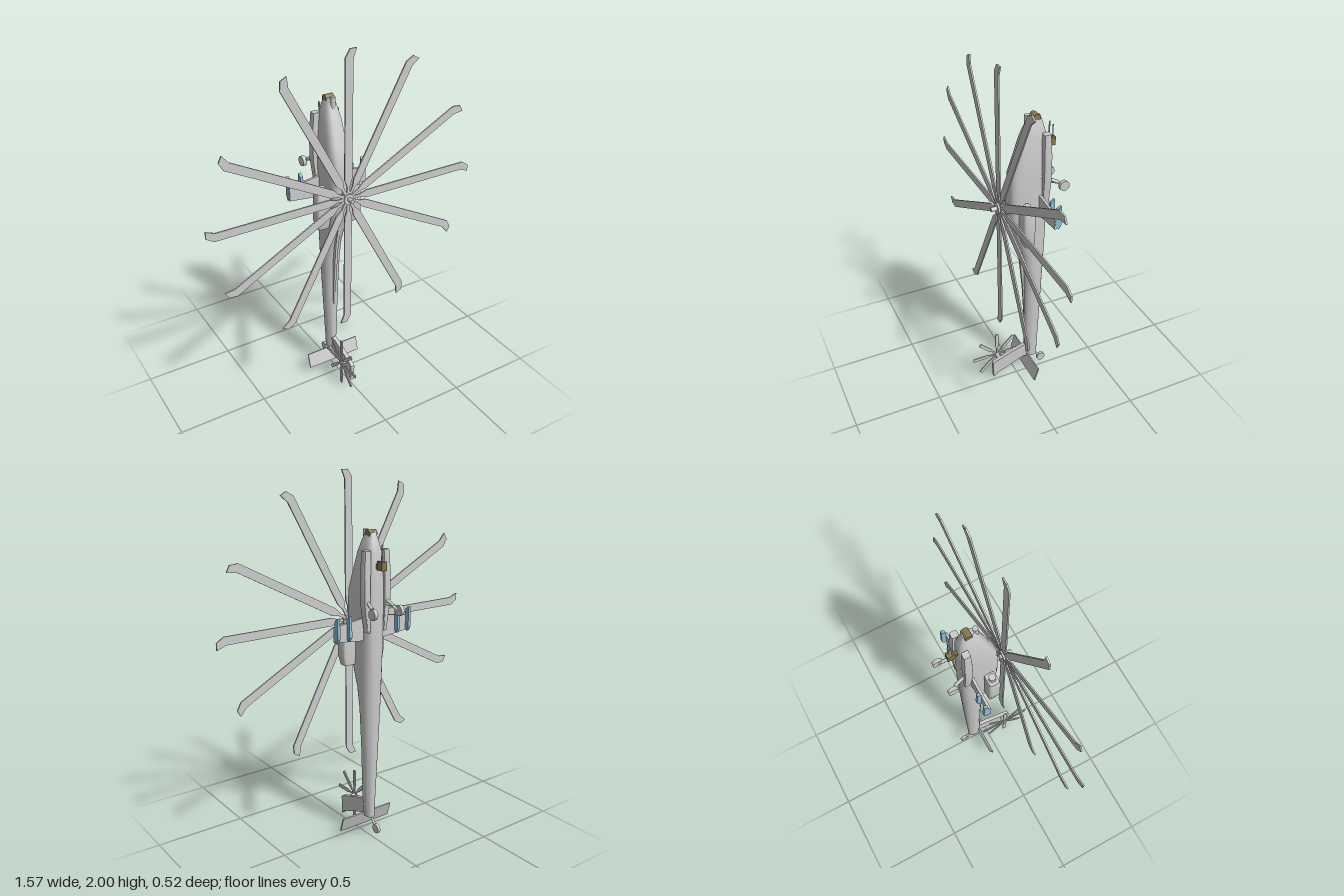
import * as THREE from 'three';
import { toCreasedNormals } from 'three/addons/utils/BufferGeometryUtils.js';

const material = (color) => new THREE.MeshStandardMaterial({ color, side: THREE.DoubleSide });
const grey = material(0xcccccc), blue = material(0x8fbcd2), olive = material(0x857850);

function add(parent, name, geometry, mat = grey, pos = [0, 0, 0]) {
  const mesh = new THREE.Mesh(geometry, mat);
  mesh.name = name;
  mesh.position.set(...pos);
  parent.add(mesh);
  return mesh;
}
const box = (w, h, d) => new THREE.BoxGeometry(w, h, d);

// Flat plate cut from an outline, centred on its thickness
function plate(points, thickness) {
  const shape = new THREE.Shape(points.map(([x, y]) => new THREE.Vector2(x, y)));
  const g = new THREE.ExtrudeGeometry(shape, { depth: thickness, bevelEnabled: false });
  return g.translate(0, 0, -thickness / 2);
}

// Round bar between two points
function bar(parent, name, a, b, r, mat = grey, r2 = r) {
  const p = new THREE.Vector3(...a), q = new THREE.Vector3(...b);
  const mesh = add(parent, name, new THREE.CylinderGeometry(r2, r, p.distanceTo(q), 10), mat);
  mesh.position.copy(p).lerp(q, 0.5);
  mesh.quaternion.setFromUnitVectors(new THREE.Vector3(0, 1, 0), q.sub(p).normalize());
  return mesh;
}

// Superellipse sections along y: [y, z upper, z lower, half width, exponent, centre x]
function loft(stations, n = 24) {
  const pos = [], index = [];
  const pw = (v, e) => Math.sign(v) * Math.abs(v) ** (2 / e);
  stations.forEach(([y, z0, z1, w, e, cx = 0]) => {
    for (let i = 0; i < n; i++) {
      const t = (i / n) * Math.PI * 2;
      pos.push(cx + w * pw(Math.sin(t), e), y, (z0 + z1) / 2 + (z0 - z1) / 2 * pw(Math.cos(t), e));
    }
  });
  const last = stations.length - 1;
  for (let s = 0; s < last; s++) {
    for (let i = 0; i < n; i++) {
      const a = s * n + i, b = s * n + (i + 1) % n;
      index.push(a, a + n, b, b, a + n, b + n);
    }
  }
  for (let i = 1; i < n - 1; i++) {
    index.push(0, i, i + 1, last * n, last * n + i + 1, last * n + i);
  }
  const g = new THREE.BufferGeometry();
  g.setAttribute('position', new THREE.Float32BufferAttribute(pos, 3));
  g.setIndex(index);
  return toCreasedNormals(g, 0.6);
}

export function createModel() {
  const model = new THREE.Group();
  model.name = 'helicopter';

  // Body standing nose up, from nose to tail
  add(model, 'fuselage', loft([
    [1.705, -0.065, -0.125, 0.02, 2.5], [1.66, -0.045, -0.14, 0.034, 2.8],
    [1.60, -0.02, -0.155, 0.046, 3.2], [1.47, 0.02, -0.158, 0.057, 3.6],
    [1.40, 0.045, -0.16, 0.06, 3.6], [1.30, 0.052, -0.16, 0.06, 3.6],
    [1.15, 0.052, -0.16, 0.06, 3.4], [1.08, 0.04, -0.16, 0.06, 3],
    [0.98, 0.008, -0.158, 0.059, 2.6], [0.88, -0.022, -0.155, 0.057, 2.3],
    [0.76, -0.038, -0.151, 0.053, 2.1], [0.55, -0.045, -0.144, 0.044, 2],
    [0.22, -0.048, -0.131, 0.03, 2], [0.125, -0.058, -0.128, 0.025, 2],
  ]));
  add(model, 'spineCover', loft([
    [1.0, 0.015, -0.05, 0.014, 3], [0.87, -0.012, -0.06, 0.013, 3],
    [0.65, -0.033, -0.07, 0.011, 3], [0.45, -0.044, -0.07, 0.008, 3],
  ], 12));

  // Nose sensors
  const turret = add(model, 'noseTurret', new THREE.CylinderGeometry(0.02, 0.02, 0.05, 16), olive, [0, 1.697, -0.1]);
  turret.rotation.z = Math.PI / 2;
  bar(model, 'noseSensor', [0, 1.65, -0.055], [0, 1.715, -0.055], 0.014);

  // Chin gun
  const gun = new THREE.Group();
  gun.name = 'chinGun';
  model.add(gun);
  add(gun, 'gunBody', box(0.032, 0.045, 0.04), olive, [0, 1.545, -0.19]);
  add(gun, 'gunMount', box(0.02, 0.025, 0.04), olive, [0, 1.54, -0.165]);
  bar(gun, 'gunBarrel', [-0.006, 1.56, -0.18], [-0.006, 1.65, -0.185], 0.004);
  bar(gun, 'gunBarrel', [0.006, 1.56, -0.198], [0.006, 1.635, -0.198], 0.003);

  for (const s of [-1, 1]) {
    const side = s > 0 ? 'left' : 'right';

    // Equipment fairing along the lower side
    add(model, side + 'Fairing', loft([
      [1.62, -0.118, -0.155, 0.018, 6, s * 0.058], [1.5, -0.115, -0.16, 0.021, 6, s * 0.064],
      [1.36, -0.115, -0.16, 0.02, 6, s * 0.064], [1.2, -0.12, -0.155, 0.01, 6, s * 0.052],
    ], 16));

    // Engine with intake and exhaust
    add(model, side + 'Engine', loft([
      [1.225, 0.012, -0.045, 0.036, 5, s * 0.094], [1.2, 0.017, -0.05, 0.04, 5, s * 0.094],
      [1.06, 0.017, -0.05, 0.04, 5, s * 0.094], [1.01, 0.005, -0.048, 0.034, 5, s * 0.09],
    ], 20));
    bar(model, side + 'Intake', [s * 0.094, 1.22, -0.016], [s * 0.094, 1.255, -0.016], 0.02);
    add(model, side + 'EngineMount', box(0.04, 0.13, 0.04), grey, [s * 0.06, 1.13, -0.018]);

    // Stub wing with two pods
    const wing = plate([[0.04, 1.15], [0.235, 1.17], [0.235, 1.25], [0.04, 1.275]], 0.014);
    if (s < 0) wing.rotateY(Math.PI);
    add(model, side + 'Wing', wing, grey, [0, 0, -0.108]);
    for (const x of [0.155, 0.228]) {
      const pod = plate([[-0.103, 1.19], [-0.125, 1.165], [-0.14, 1.19], [-0.138, 1.3], [-0.115, 1.285]], 0.016);
      pod.rotateY(-Math.PI / 2);
      add(model, side + 'Pod', pod, blue, [s * x, 0, 0]);
    }

    // Main landing gear
    bar(model, side + 'GearLeg', [s * 0.05, 1.385, -0.1], [s * 0.07, 1.335, -0.205], 0.009);
    bar(model, side + 'GearShock', [s * 0.045, 1.345, -0.14], [s * 0.075, 1.33, -0.21], 0.006);
    bar(model, side + 'GearAxle', [s * 0.066, 1.335, -0.2], [s * 0.08, 1.315, -0.228], 0.008);
    bar(model, side + 'MainWheel', [s * 0.074, 1.315, -0.23], [s * 0.094, 1.315, -0.23], 0.028)
      .geometry = new THREE.CylinderGeometry(0.028, 0.028, 0.02, 20);
  }

  // Tail fin, stabilizer and tail wheel
  const fin = plate([[-0.12, 0.125], [-0.05, 0.215], [0.02, 0.195], [0.15, 0.148],
    [0.158, 0.14], [0.154, 0.035], [0.125, 0.06], [-0.04, 0.125]], 0.022);
  fin.rotateY(-Math.PI / 2);
  add(model, 'tailFin', fin);
  const stabilizer = add(model, 'stabilizer', box(0.33, 0.085, 0.008), grey, [-0.004, 0.097, -0.055]);
  stabilizer.rotation.x = -0.3;
  bar(model, 'tailGearLeg', [0, 0.14, -0.1], [0, 0.072, -0.157], 0.007);
  const tailWheel = add(model, 'tailWheel', new THREE.CylinderGeometry(0.026, 0.026, 0.016, 20), grey, [0, 0.07, -0.16]);
  tailWheel.rotation.z = Math.PI / 2;

  // Main rotor: twelve blades with swept tips
  const rotor = new THREE.Group();
  rotor.name = 'mainRotor';
  rotor.position.set(-0.004, 1.216, 0.1);
  model.add(rotor);
  bar(rotor, 'mast', [0, 0, -0.06], [0, 0, 0.045], 0.012);
  bar(rotor, 'hub', [0, 0, -0.013], [0, 0, 0.013], 0.03);
  bar(rotor, 'controlPlate', [0, 0, -0.031], [0, 0, -0.025], 0.028);
  const blade = plate([[0.02, -0.008], [0.07, -0.008], [0.11, -0.022], [0.735, -0.022], [0.785, -0.042],
    [0.785, -0.004], [0.745, 0.022], [0.11, 0.022], [0.07, 0.008], [0.02, 0.008]], 0.008);
  for (const half of [0, 180]) {
    for (const angle of [0, 28, 62, 90, 118, 152]) {
      add(rotor, 'mainBlade', blade).rotation.z = THREE.MathUtils.degToRad(half + angle);
    }
  }

  // Tail rotor on the right of the fin
  const tailRotor = new THREE.Group();
  tailRotor.name = 'tailRotor';
  tailRotor.position.set(-0.046, 0.155, 0.108);
  model.add(tailRotor);
  bar(tailRotor, 'tailShaft', [-0.01, 0, 0], [0.045, -0.01, 0], 0.012);
  const tailBlade = plate([[0, -0.004], [0.05, -0.005], [0.06, -0.01], [0.152, -0.01],
    [0.152, 0.01], [0.06, 0.01], [0.05, 0.005], [0, 0.004]], 0.006);
  tailBlade.rotateY(-Math.PI / 2);
  for (let i = 0; i < 8; i++) {
    add(tailRotor, 'tailBlade', tailBlade).rotation.x = i * Math.PI / 4;
  }
  return model;
}
